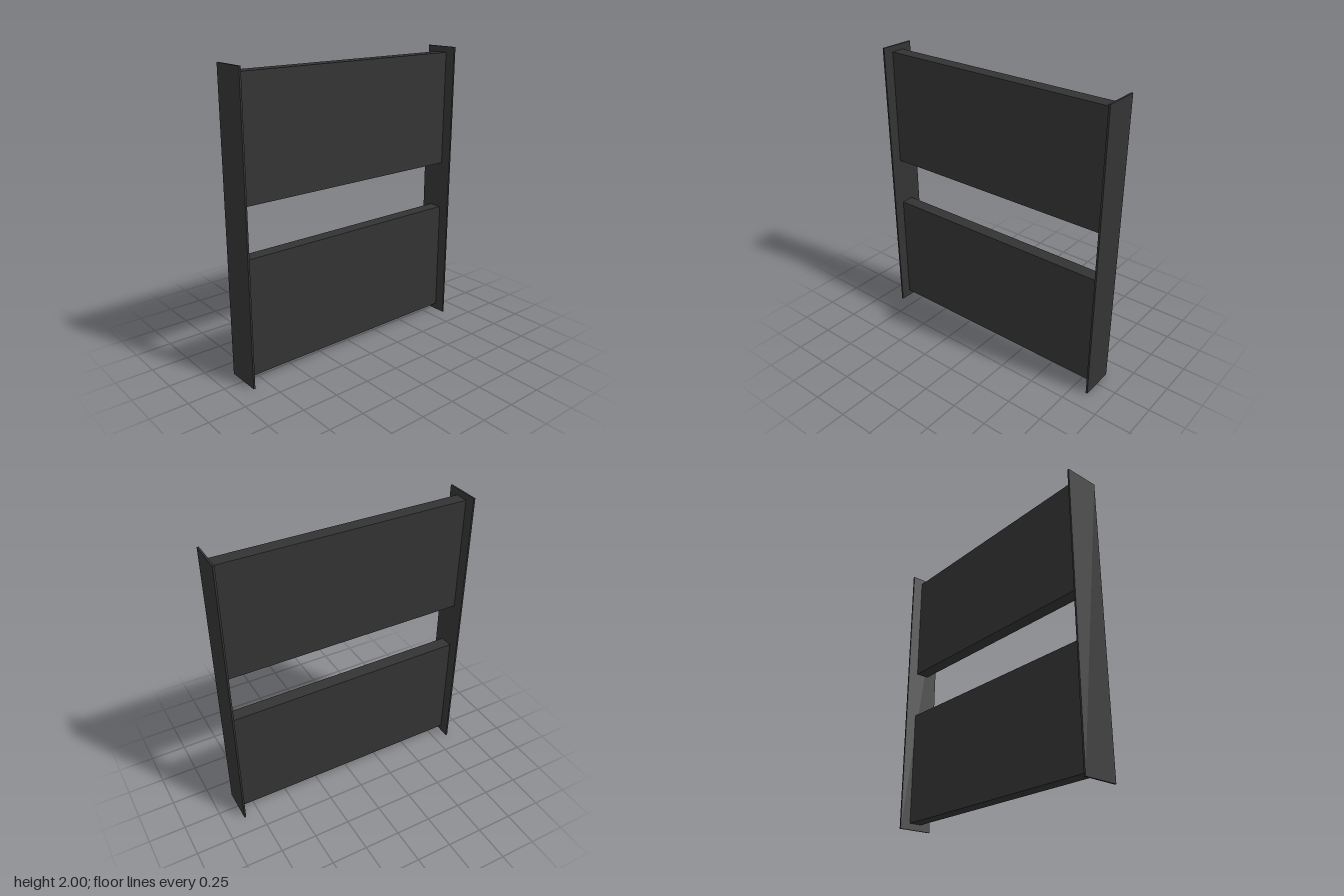
import * as THREE from 'three';

export function createModel() {
  const group = new THREE.Group();
  const material = new THREE.MeshStandardMaterial({ color: 0x333333 });

  const addBox = (name, width, height, depth, x, y) => {
    const mesh = new THREE.Mesh(new THREE.BoxGeometry(width, height, depth), material);
    mesh.name = name;
    mesh.position.set(x, y, 0);
    group.add(mesh);
  };

  // Thin upright plates closing both ends
  addBox('leftEndPlate', 0.012, 2, 0.24, 0.854, 1);
  addBox('rightEndPlate', 0.012, 2, 0.24, -0.854, 1);

  // Two wide panels spanning between the plates
  addBox('lowerPanel', 1.696, 0.79, 0.092, 0, 0.44);
  addBox('upperPanel', 1.696, 0.79, 0.092, 0, 1.565);

  return group;
}
